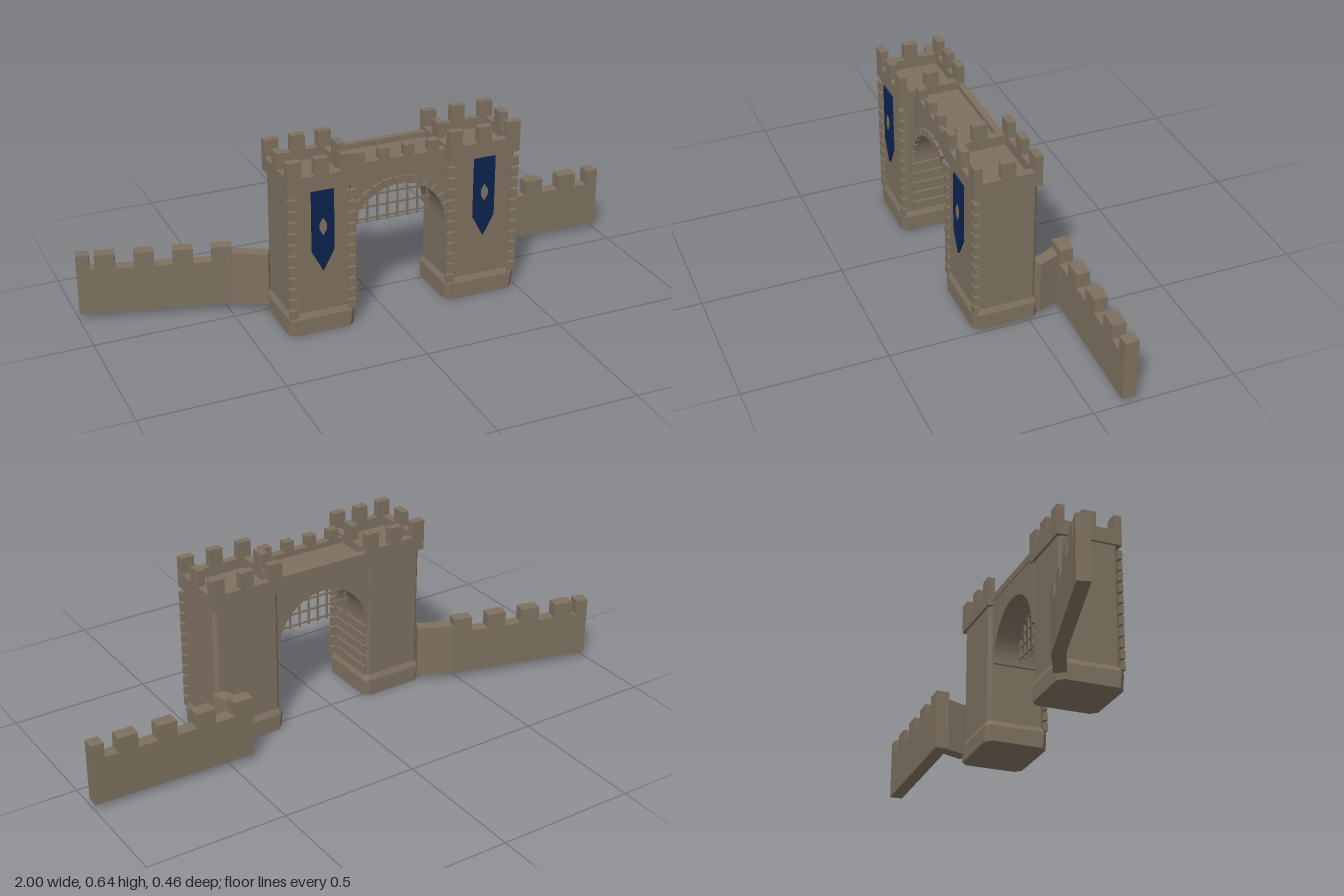
import * as THREE from 'three';

const mat = (name, color) => {
  const m = new THREE.MeshStandardMaterial({ color });
  m.name = name;
  return m;
};

export function createModel() {
  const stone = mat('stone', 0x7d705f);
  const blue = mat('bannerBlue', 0x0b2350);
  const root = new THREE.Group();
  root.name = 'castleGate';

  const add = (parent, name, geo, material = stone) => {
    const m = new THREE.Mesh(geo, material);
    m.name = name;
    parent.add(m);
    return m;
  };
  // Box given by its minimum and maximum corners
  const box = (parent, name, x0, x1, y0, y1, z0, z1, material = stone) => {
    const m = add(parent, name, new THREE.BoxGeometry(x1 - x0, y1 - y0, z1 - z0), material);
    m.position.set((x0 + x1) / 2, (y0 + y1) / 2, (z0 + z1) / 2);
    return m;
  };
  const group = (name) => {
    const g = new THREE.Group();
    g.name = name;
    root.add(g);
    return g;
  };

  // Chamfered rectangular shaft lofted through [y, inset, chamfer] rings
  const shaft = (x0, x1, z0, z1, rings) => {
    const pos = [];
    const loops = rings.map(([y, i, c]) => {
      const a = x0 + i, b = x1 - i, d = z0 + i, e = z1 - i;
      return [[a, e - c], [a + c, e], [b - c, e], [b, e - c], [b, d + c], [b - c, d], [a + c, d], [a, d + c]]
        .map(([x, z]) => [x, y, z]);
    });
    for (let r = 0; r + 1 < loops.length; r++) {
      for (let k = 0; k < 8; k++) {
        const n = (k + 1) % 8, lo = loops[r], hi = loops[r + 1];
        pos.push(...lo[k], ...lo[n], ...hi[n], ...lo[k], ...hi[n], ...hi[k]);
      }
    }
    const bot = loops[0], top = loops[loops.length - 1];
    for (let k = 1; k < 7; k++) pos.push(...bot[0], ...bot[k + 1], ...bot[k], ...top[0], ...top[k], ...top[k + 1]);
    const g = new THREE.BufferGeometry();
    g.setAttribute('position', new THREE.Float32BufferAttribute(pos, 3));
    g.computeVertexNormals();
    return g;
  };

  // Towers
  const T = 0.028;
  const tower = (name, x0, x1, z0, z1) => {
    const g = group(name);
    add(g, 'towerBody', shaft(x0, x1, z0, z1,
      [[0, 0, 0.022], [0.06, 0, 0.015], [0.08, 0.01, 0.012], [0.535, 0.01, 0.012]]));
    box(g, 'capSlab', x0, x1, 0.53, 0.548, z0, z1);
    // Parapet ring around the sunken roof
    box(g, 'parapetFront', x0, x1, 0.548, 0.585, z1 - T, z1);
    box(g, 'parapetBack', x0, x1, 0.548, 0.585, z0, z0 + T);
    box(g, 'parapetRight', x0, x0 + T, 0.548, 0.585, z0 + T, z1 - T);
    box(g, 'parapetLeft', x1 - T, x1, 0.548, 0.585, z0 + T, z1 - T);
    // Battlements
    const cx = (x0 + x1) / 2, cz = (z0 + z1) / 2, w = 0.05;
    for (const x of [x0, cx - w / 2, x1 - w]) {
      box(g, 'merlon', x, x + w, 0.585, 0.643, z1 - T, z1);
      box(g, 'merlon', x, x + w, 0.585, 0.643, z0, z0 + T);
    }
    for (const x of [x0, x1 - T]) box(g, 'merlon', x, x + T, 0.585, 0.641, cz - w / 2, cz + w / 2);
    // Corner stones on the front edges
    for (let i = 0; i < 11; i++) {
      const y = 0.067 + i * 0.041;
      for (const x of [x0, x1 - 0.03]) box(g, 'cornerStone', x, x + 0.03, y, y + 0.033, z1 - 0.015, z1);
    }
    // Hanging banner with a plain diamond
    const s = new THREE.Shape([[-0.04, 0.53], [-0.04, 0.31], [0, 0.235], [0.04, 0.31], [0.04, 0.53]]
      .map(([x, y]) => new THREE.Vector2(x, y)));
    const b = add(g, 'banner', new THREE.ExtrudeGeometry(s, { depth: 0.007, bevelEnabled: false }), blue);
    b.position.set(cx, 0, z1 - 0.002);
    const e = new THREE.Shape([[-0.013, 0.39], [0, 0.368], [0.013, 0.39], [0.013, 0.41], [0, 0.432], [-0.013, 0.41]]
      .map(([x, y]) => new THREE.Vector2(x, y)));
    const d = add(g, 'bannerDiamond', new THREE.ExtrudeGeometry(e, { depth: 0.002, bevelEnabled: false }));
    d.position.set(cx, 0, z1 + 0.005);
  };
  tower('rightTower', -0.377, -0.135, -0.02, 0.22);
  tower('leftTower', 0.22, 0.49, -0.04, 0.195);

  // Bridge wall with arched underside
  const gate = group('gateArch');
  const CX = 0.0425, R = 0.1775, SPRING = 0.3;
  const arch = new THREE.Shape();
  arch.moveTo(-0.15, SPRING);
  arch.lineTo(CX - R, SPRING);
  arch.absarc(CX, SPRING, R, Math.PI, 0, true);
  arch.lineTo(0.235, SPRING);
  arch.lineTo(0.235, 0.555);
  arch.lineTo(-0.15, 0.555);
  arch.closePath();
  add(gate, 'archWall', new THREE.ExtrudeGeometry(arch, { depth: 0.18, bevelEnabled: false, curveSegments: 20 }))
    .position.z = -0.015;
  box(gate, 'bridgeParapetFront', -0.14, 0.225, 0.548, 0.575, 0.137, 0.168);
  box(gate, 'bridgeParapetBack', -0.14, 0.225, 0.548, 0.575, -0.018, 0.005);
  for (let i = 0; i < 4; i++) {
    const x = -0.117 + i * 0.091;
    box(gate, 'bridgeMerlon', x, x + 0.037, 0.575, 0.613, 0.137, 0.168);
  }
  // Wedge stones around the arch front
  const N = 15;
  for (let i = 0; i < N; i++) {
    const a = ((i + 0.5) / N) * Math.PI;
    const v = add(gate, 'archStone', new THREE.BoxGeometry(0.032, 0.026, 0.03));
    v.position.set(CX + Math.cos(a) * 0.192, SPRING + Math.sin(a) * 0.192, 0.16);
    v.rotation.z = a - Math.PI / 2;
  }
  // Stone courses on one side of the passage
  for (let i = 0; i < 6; i++) {
    const y = 0.085 + i * 0.041;
    box(gate, 'passageCourse', -0.15, -0.136, y, y + 0.034, -0.005, 0.18);
  }

  // Portcullis
  const grate = group('portcullis');
  const top = (dx) => SPRING + Math.sqrt(R * R - dx * dx) + 0.004;
  for (let i = -4; i <= 4; i++) {
    const x = CX + i * 0.038;
    box(grate, 'verticalBar', x - 0.003, x + 0.003, 0.307, top(i * 0.038), 0.077, 0.083);
  }
  for (const y of [0.32, 0.364, 0.408, 0.452]) {
    const h = y < 0.35 ? 0.158 : Math.sqrt(R * R - (y - SPRING) ** 2) + 0.004;
    box(grate, 'crossBar', CX - h, CX + h, y - 0.003, y + 0.003, 0.074, 0.08);
  }

  // Curtain walls: a plain link, then a battlemented run
  const span = (name, ax, az, bx, bz, thick) => {
    const g = group(name);
    g.position.set(ax, 0, az);
    g.rotation.y = -Math.atan2(bz - az, bx - ax);
    return { g, len: Math.hypot(bx - ax, bz - az), h: thick / 2 };
  };
  const link = (name, ...p) => {
    const { g, len, h } = span(name, ...p);
    box(g, 'linkWall', 0, len, 0.024, 0.219, -h, h);
  };
  const run = (name, pitch, ...p) => {
    const { g, len, h } = span(name, ...p);
    box(g, 'curtainWall', 0, len, 0.024, 0.192, -h, h);
    for (let i = 0; i < 4; i++) box(g, 'wallMerlon', i * pitch, i * pitch + 0.07, 0.192, 0.246, -h, h);
    box(g, 'wallMerlon', len - 0.045, len, 0.192, 0.246, -h, h);
  };
  link('leftLink', 0.478, -0.03, 0.437, -0.13, 0.045);
  run('leftCurtainWall', 0.14, 0.415, -0.138, 0.999, -0.122, 0.048);
  link('rightLink', -0.365, -0.01, -0.495, -0.072, 0.045);
  run('rightCurtainWall', 0.133, -0.48, -0.068, -0.993, -0.207, 0.045);

  return root;
}
